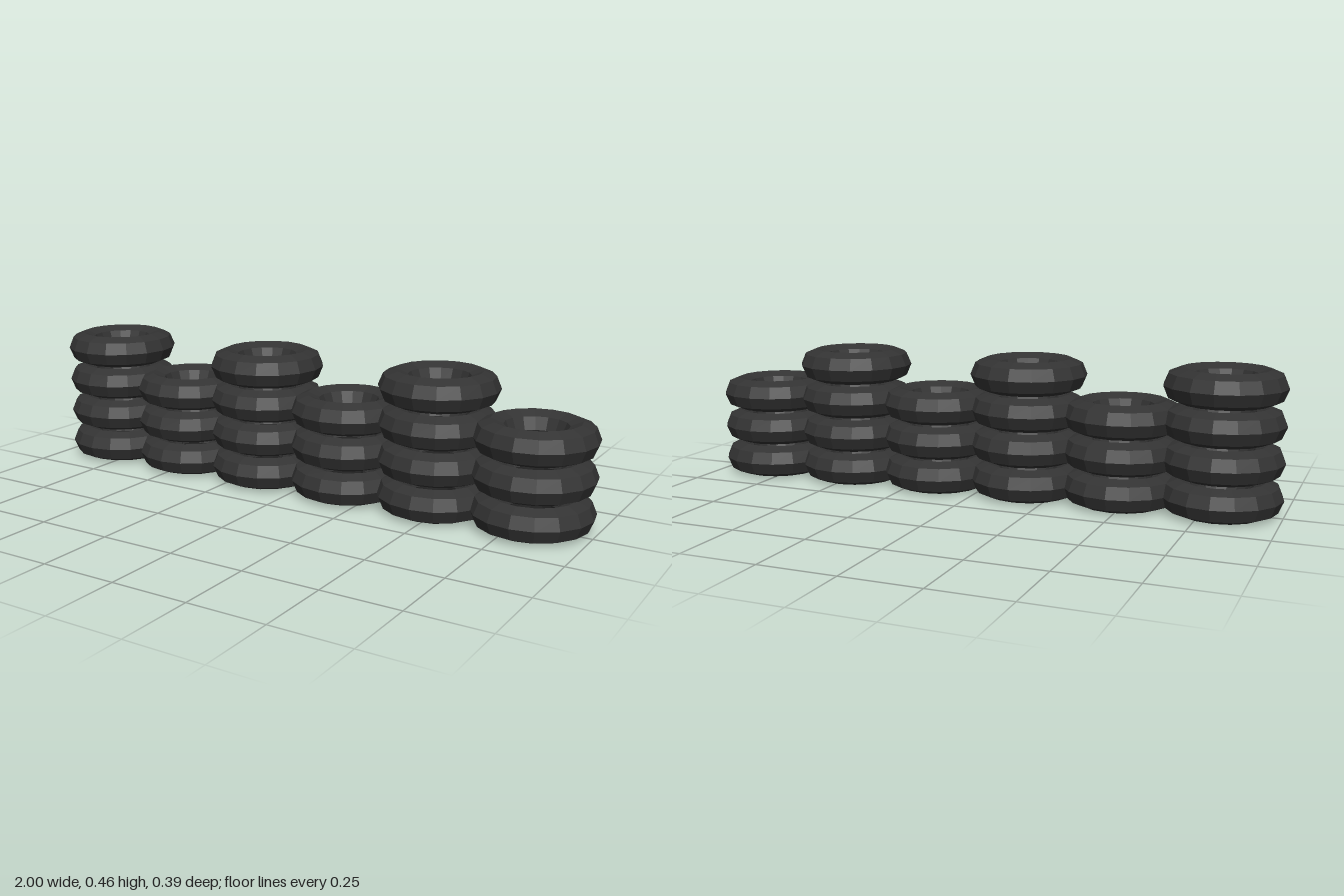
import * as THREE from 'three';

const RING = 0.138;    // centre of the tube
const TUBE = 0.055;    // tube radius
const SPACING = 0.323; // between stacks
const LAYER = 0.1167;  // between tyres in a stack

export function createModel() {
  const barrier = new THREE.Group();
  barrier.name = 'tyreBarrier';

  const rubber = new THREE.MeshStandardMaterial({ color: 0x333333, flatShading: true });
  const tyreShape = new THREE.TorusGeometry(RING, TUBE, 8, 16).rotateX(-Math.PI / 2);

  // Six overlapping stacks, alternately four and three tyres high
  for (let i = 0; i < 6; i++) {
    const stack = new THREE.Group();
    stack.name = `tyreStack${i + 1}`;
    stack.position.x = (i - 2.5) * SPACING;
    const count = i % 2 === 0 ? 4 : 3;
    for (let j = 0; j < count; j++) {
      const tyre = new THREE.Mesh(tyreShape, rubber);
      tyre.name = `tyre${j + 1}`;
      tyre.position.y = TUBE + j * LAYER;
      stack.add(tyre);
    }
    barrier.add(stack);
  }
  return barrier;
}
